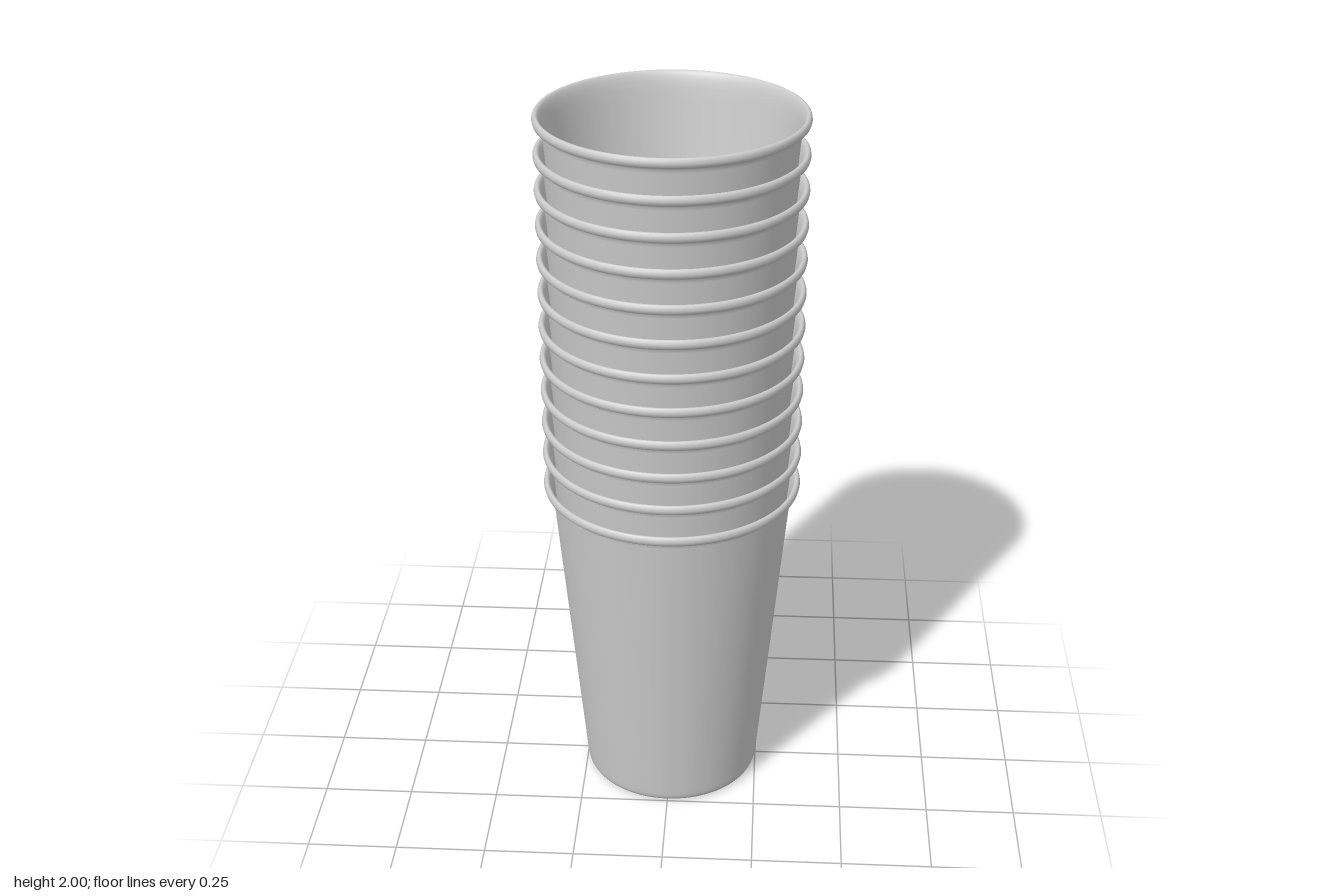
import * as THREE from 'three';

const CUPS = 12, HEIGHT = 0.95, STEP = (2 - HEIGHT) / (CUPS - 1);

// Rim section as [radius, drop below the lip]: flare, rolled bead, inner lip
const RIM = [
  [0.3325, 0.045], [0.334, 0.036], [0.338, 0.03], [0.344, 0.0275], [0.35, 0.0265],
  [0.3548, 0.022], [0.357, 0.014], [0.3555, 0.006], [0.352, 0.0015], [0.348, 0],
  [0.344, 0.0015], [0.3405, 0.006], [0.337, 0.014], [0.333, 0.026], [0.329, 0.045],
];

// One closed cup section: underside, outer wall, rim, inner wall, filleted floor
function cupProfile() {
  return [
    [0, 0], [0.236, 0], [0.238, 0], [0.245, 0.004], [0.249, 0.011], [0.251, 0.02], [0.2525, 0.036],
    ...RIM.map(([r, drop]) => [r, HEIGHT - drop]),
    [0.325, HEIGHT - 0.072], [0.205, 0.06], [0.2025, 0.043], [0.2, 0.035], [0.195, 0.031], [0.187, 0.03], [0.18, 0.03], [0, 0.03],
  ].map(([x, y]) => new THREE.Vector2(x, y));
}

export function createModel() {
  const group = new THREE.Group();
  group.name = 'cupStack';
  const material = new THREE.MeshStandardMaterial({ color: 0xcccccc, side: THREE.DoubleSide });
  const geometry = new THREE.LatheGeometry(cupProfile(), 96);

  // Identical cups nested at a constant pitch
  for (let i = 0; i < CUPS; i++) {
    const cup = new THREE.Mesh(geometry, material);
    cup.name = `cup${i + 1}`;
    cup.position.y = i * STEP;
    group.add(cup);
  }
  return group;
}
